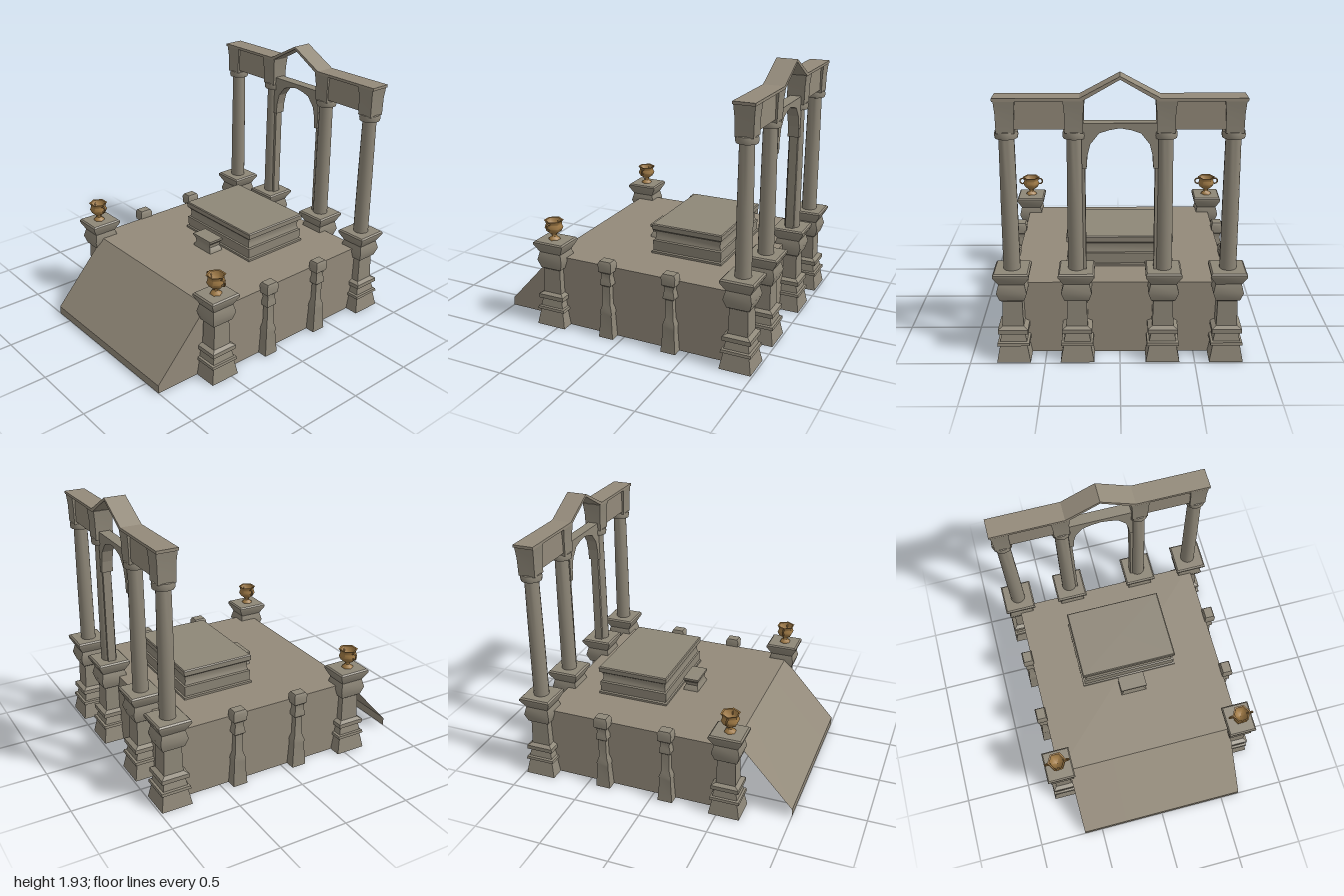
import * as THREE from 'three';
import { toCreasedNormals, mergeVertices } from 'three/addons/utils/BufferGeometryUtils.js';

const mat = (name, color) => {
  const m = new THREE.MeshStandardMaterial({ color, side: THREE.DoubleSide });
  m.name = name;
  return m;
};

export function createModel() {
  const root = new THREE.Group();
  root.name = 'shrine';
  const stone = mat('platform stone', 0x938a7a);
  const carved = mat('carved stone', 0x8e8778);
  const bronze = mat('bronze', 0xa07a45);

  const add = (name, geo, material, x = 0, y = 0, z = 0) => {
    const mesh = new THREE.Mesh(geo, material);
    mesh.name = name;
    mesh.position.set(x, y, z);
    root.add(mesh);
    return mesh;
  };

  // turned profile of [half width, height]; four sides give a square moulding
  const turned = (profile, sides, kx = 1, kz = 1) => {
    const k = sides === 4 ? Math.SQRT2 : 1;
    const pts = profile.map(([r, y]) => new THREE.Vector2(r * k, y));
    const g = new THREE.LatheGeometry(pts, sides, Math.PI / sides).scale(kx, 1, kz);
    g.deleteAttribute('normal');
    g.deleteAttribute('uv');
    return toCreasedNormals(mergeVertices(g), sides === 4 ? 0.6 : 1.1);
  };

  // flat four-cornered panel, corners counter-clockwise from outside
  const panel = (name, a, b, c, d) => {
    const g = new THREE.BufferGeometry();
    g.setAttribute('position', new THREE.Float32BufferAttribute([a, b, c, a, c, d].flat(), 3));
    g.computeVertexNormals();
    return add(name, g, stone);
  };

  // hollow platform
  const W = 0.72, H = 0.52, F = 0.585, B = -0.84, R = 0.64, C = 0.295, lip = 0.06;
  panel('platformTop', [-W, H, F], [W, H, F], [W, H, B], [-W, H, B]);
  panel('platformBack', [W, 0, B], [-W, 0, B], [-W, H, B], [W, H, B]);
  panel('platformLeftWall', [W, 0, F], [W, 0, B], [W, H, B], [W, H, F]);
  panel('platformRightWall', [-W, 0, B], [-W, 0, F], [-W, H, F], [-W, H, B]);
  panel('frontStripLeft', [R, 0, F], [W, 0, F], [W, H, F], [R, H, F]);
  panel('frontStripRight', [-W, 0, F], [-R, 0, F], [-R, H, F], [-W, H, F]);

  // sloping front in three slabs, with a lip at the ground
  [[-R, -C], [-C, C], [C, R]].forEach(([x0, x1]) => {
    panel('ramp', [x0, lip, 1], [x1, lip, 1], [x1, H, F], [x0, H, F]);
    panel('rampLip', [x0, 0, 1], [x1, 0, 1], [x1, lip, 1], [x0, lip, 1]);
  });
  panel('rampSide', [R, 0, 1], [R, 0, F], [R, H, F], [R, lip, 1]);

  // pedestals
  const pedestal = [
    [0.113, 0], [0.09, 0.12], [0.108, 0.12], [0.105, 0.14], [0.09, 0.145], [0.078, 0.2],
    [0.1, 0.205], [0.1, 0.235], [0.07, 0.25], [0.065, 0.43], [0.08, 0.44], [0.1, 0.5],
    [0.085, 0.56], [0.118, 0.62], [0.118, 0.635], [0.108, 0.645], [0, 0.645],
  ];
  const frontPedestal = turned(pedestal, 4, 0.89, 1);
  const backPedestal = turned(pedestal, 4);

  // side posts
  const post = turned([
    [0.055, 0], [0.042, 0.17], [0.046, 0.2], [0.03, 0.25], [0.028, 0.39], [0.042, 0.4],
    [0.04, 0.43], [0.032, 0.46], [0.036, 0.49], [0.05, 0.5], [0.052, 0.56], [0.042, 0.58], [0, 0.58],
  ], 4, 0.78, 1);

  // columns with a ring and a block on top
  const column = turned([
    [0.056, 0.64], [0.054, 1.1], [0.05, 1.53], [0.072, 1.535], [0.076, 1.555], [0.072, 1.58], [0.05, 1.585],
  ], 16);
  const block = turned([[0.062, 1.575], [0.064, 1.7], [0.072, 1.785], [0, 1.785]], 4, 0.92, 1);

  // urns
  const urn = turned([
    [0, 0], [0.042, 0], [0.038, 0.012], [0.018, 0.025], [0.02, 0.04], [0.05, 0.06], [0.066, 0.09],
    [0.056, 0.115], [0.058, 0.13], [0.07, 0.145], [0.058, 0.143], [0.045, 0.1], [0, 0.07],
  ], 6);
  const handle = new THREE.TorusGeometry(0.022, 0.006, 6, 12);

  const BZ = -0.875;
  for (const s of [-1, 1]) {
    add('frontPedestal', frontPedestal, carved, s * 0.71, 0, 0.555);
    add('urn', urn, bronze, s * 0.712, 0.645, 0.56);
    for (const h of [-1, 1]) add('urnHandle', handle, bronze, s * 0.712 + h * 0.07, 0.755, 0.56);
    for (const z of [0.11, -0.375]) add('sidePost', post, carved, s * 0.75, 0, z);
    for (const x of [0.285, 0.71]) {
      add('backPedestal', backPedestal, carved, s * x, 0, BZ);
      add('column', column, carved, s * x, 0, BZ);
      add('columnBlock', block, carved, s * x, 0, BZ);
    }
    add('beam', new THREE.BoxGeometry(0.43, 0.185, 0.1), stone, s * 0.4975, 1.69, BZ);
    add('archJamb', new THREE.BoxGeometry(0.02, 0.84, 0.06), carved, s * 0.23, 0.94, BZ);
  }

  // top slab folded into a gable
  const extrude = (pts, depth) => new THREE.ExtrudeGeometry(
    new THREE.Shape(pts.map(([x, y]) => new THREE.Vector2(x, y))), { depth, bevelEnabled: false });
  add('gableSlab', extrude([
    [-0.785, 1.78], [-0.235, 1.78], [0, 1.915], [0.235, 1.78], [0.785, 1.78],
    [0.785, 1.8], [0.25, 1.8], [0, 1.935], [-0.25, 1.8], [-0.785, 1.8],
  ], 0.15), stone, 0, 0, BZ - 0.075);

  // arch between the inner columns
  const half = [[0.21, 1.34], [0.205, 1.42], [0.185, 1.5], [0.13, 1.57], [0.07, 1.59]];
  add('arch', extrude([
    [-0.24, 1.635], [-0.24, 1.34], ...half.map(([x, y]) => [-x, y]), [0, 1.603],
    ...half.slice().reverse(), [0.24, 1.34], [0.24, 1.635],
  ], 0.08), carved, 0, 0, BZ - 0.04);

  // altar and the small block before it
  add('altar', turned([
    [0.372, 0.52], [0.372, 0.535], [0.358, 0.54], [0.362, 0.615], [0.348, 0.62], [0.338, 0.65],
    [0.345, 0.685], [0.366, 0.7], [0.368, 0.735], [0.36, 0.742], [0, 0.742],
  ], 4, 1, 0.73), carved, 0, 0, -0.312);
  add('altarStep', turned([
    [0.1, 0.52], [0.095, 0.535], [0.08, 0.56], [0.083, 0.585], [0.102, 0.605], [0.102, 0.62], [0, 0.62],
  ], 4, 1, 0.58), carved, 0, 0, 0.048);

  return root;
}
